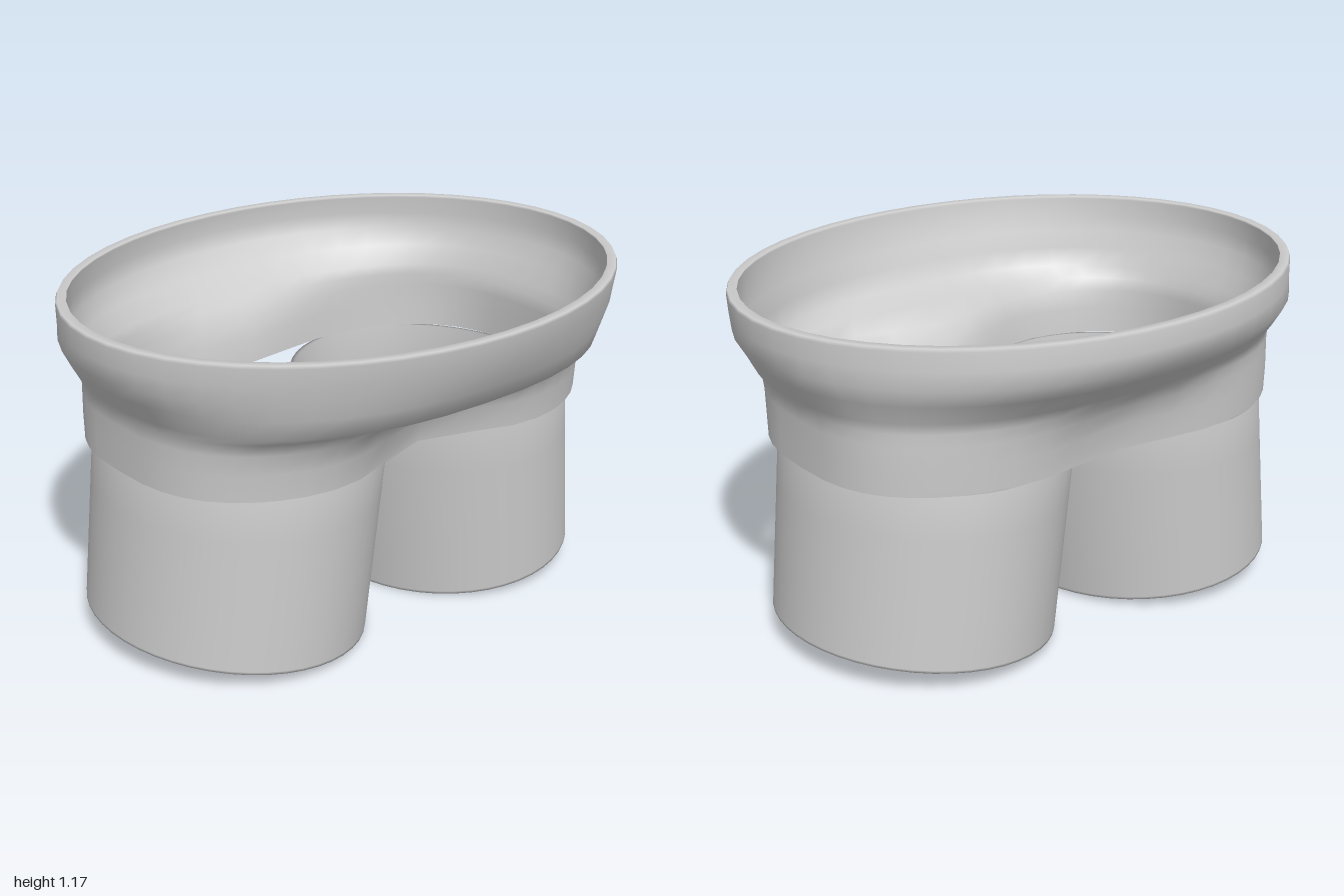
import * as THREE from 'three';

const SEG = 48;

// Joins closed rings of points (running upwards on the outside) into a smooth skin.
function loft(ringCount, pointAt) {
  const pos = [], idx = [];
  for (let j = 0; j < ringCount; j++)
    for (let i = 0; i < SEG; i++) pos.push(...pointAt(j, (i / SEG) * Math.PI * 2));
  for (let j = 0; j < ringCount - 1; j++)
    for (let i = 0; i < SEG; i++) {
      const k = (i + 1) % SEG;
      const a = j * SEG + i, b = a + SEG, c = j * SEG + k, d = c + SEG;
      idx.push(a, b, c, c, b, d);
    }
  const geo = new THREE.BufferGeometry();
  geo.setAttribute('position', new THREE.Float32BufferAttribute(pos, 3));
  geo.setIndex(idx);
  geo.computeVertexNormals();
  return geo;
}

// Collar rings: height, half width, front z, back z, front dip, back dip, squareness, centre z
const collarRings = [
  [0.67, 0.885, 0.54, -0.61, 0.16, 0.07, 2.75, -0.05],
  [0.76, 0.885, 0.55, -0.615, 0.15, 0.065, 2.75, -0.05],
  [0.83, 0.885, 0.57, -0.62, 0.11, 0.04, 2.7, -0.05],
  [0.875, 0.888, 0.61, -0.63, 0.05, 0.015, 2.6, -0.05],
  [0.91, 0.91, 0.695, -0.65, 0, 0, 2.4, -0.04],
  [0.98, 0.953, 0.735, -0.73, 0, 0, 2.2, -0.03],
  [1.04, 0.992, 0.765, -0.795, 0, 0, 2.05, -0.01],
  [1.1, 0.998, 0.785, -0.803, 0, 0, 2, 0],
  [1.16, 1.0, 0.8, -0.8, 0, 0, 2, 0],
  [1.17, 0.995, 0.797, -0.795, 0, 0, 2, 0],
];

function collarPoint(ring, angle, inset) {
  const [y, rx, zf, zb, dipF, dipB, n, cz] = ring;
  const c = Math.cos(angle), s = Math.sin(angle);
  const pow = (v) => Math.sign(v) * Math.abs(v) ** (2 / n);
  const x = (rx - inset) * pow(c);
  const depth = (s > 0 ? zf - cz : cz - zb) - inset;
  const pinch = Math.exp(-((x / 0.28) ** 2)) * (s > 0 ? -dipF : dipB) * Math.min(1, Math.abs(s) * 2);
  return [x, y, cz + depth * pow(s) + pinch];
}

// Outer wall, over the lip and down the inner wall
function collarGeometry() {
  const n = collarRings.length;
  return loft(n * 2, (j, a) => j < n
    ? collarPoint(collarRings[j], a, 0)
    : collarPoint(collarRings[2 * n - 1 - j], a, j < n + 5 ? 0.03 : 0.015));
}

// Open leg tube: leans outward towards a slanted lower opening
function legGeometry(side) {
  const up = [0, 0.015, 0.1, 0.3, 0.5, 0.75, 1];
  const n = up.length;
  return loft(n * 2 + 1, (j, a) => {
    const outer = j > 0 && j <= n;
    const t = j === 0 ? 0 : outer ? up[j - 1] : up[2 * n - j];
    const inset = outer ? 0 : 0.015;
    const c = Math.cos(a), s = Math.sin(a);
    const bottom = 0.047 + 0.045 * side * c - 0.012 * s;
    return [
      side * (0.485 - 0.07 * t) + (0.455 + 0.01 * t - inset) * c,
      bottom + (0.67 - bottom) * t,
      -0.056 + 0.008 * t + (0.517 + 0.013 * t - inset) * s,
    ];
  });
}

export function createModel() {
  const model = new THREE.Group();
  const grey = new THREE.MeshStandardMaterial({ color: 0xcccccc, side: THREE.DoubleSide });
  grey.name = 'light grey';
  const add = (name, geo) => {
    const mesh = new THREE.Mesh(geo, grey);
    mesh.name = name;
    model.add(mesh);
  };
  add('collar', collarGeometry());
  add('leftTube', legGeometry(1));
  add('rightTube', legGeometry(-1));
  return model;
}
